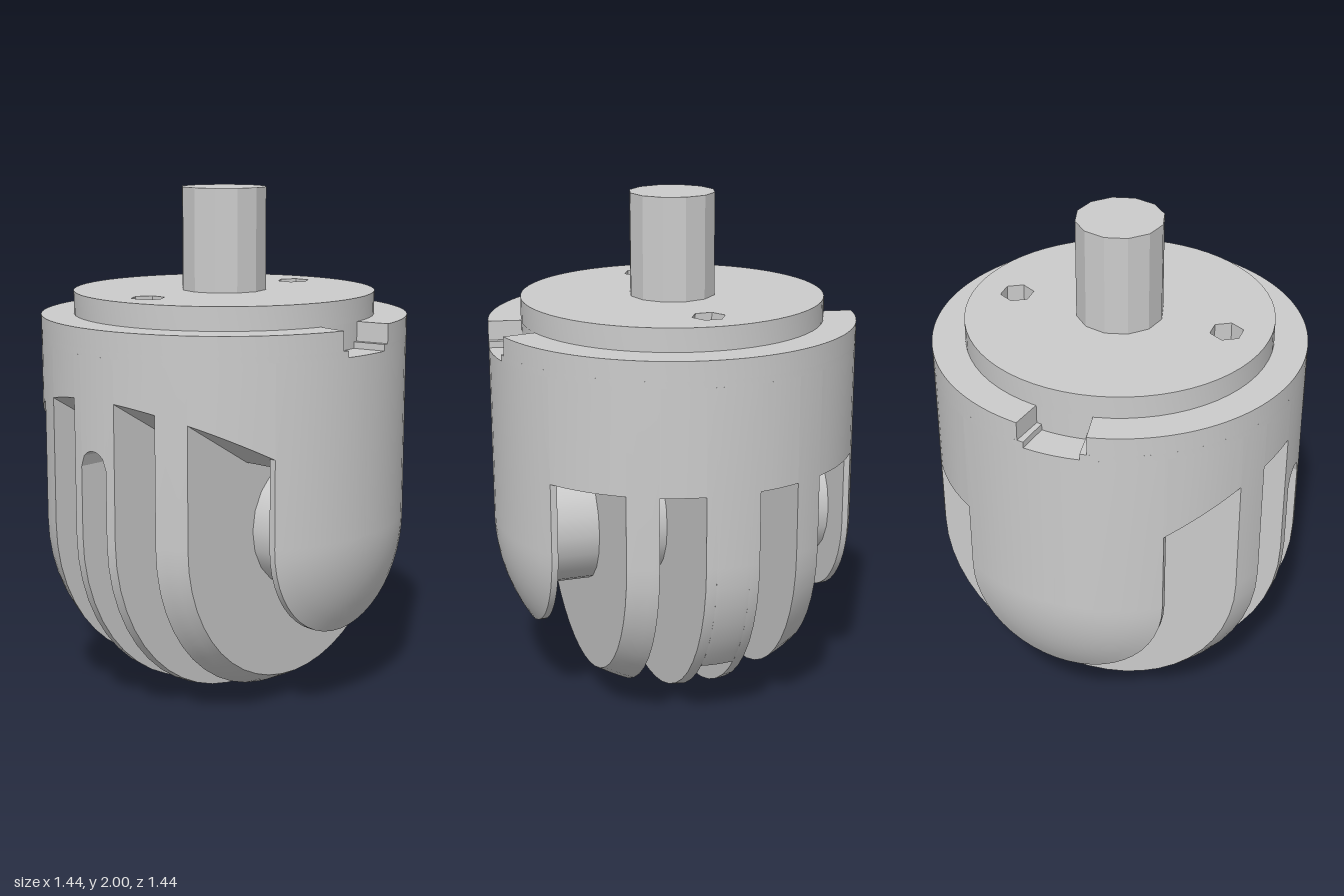
import * as THREE from 'three';
import { toCreasedNormals } from 'three/addons/utils/BufferGeometryUtils.js';

const R = 0.72;        // body radius, also the height of the dome centre
const TOP = 1.41;      // top of the sliced body, floor of the collar notches
const G = 0.065;       // half width of the cable groove
const CAP = 0.605;     // where the side cheeks begin
const FLOOR = 0.54;    // radius of the groove floor
const grey = new THREE.MeshStandardMaterial({ color: 0xcccccc });
const greyDouble = new THREE.MeshStandardMaterial({ color: 0xcccccc, side: THREE.DoubleSide });

const radiusAt = (x) => Math.sqrt(Math.max(R * R - x * x, 1e-5));
const range = (a, b, n) => Array.from({ length: n + 1 }, (_, i) => a + ((b - a) * i) / n);

// points [z, y] along a circle round the dome centre
const arc = (r, a, b, n) => range(a, b, n).map((t) => [r * Math.cos(t), R + r * Math.sin(t)]);

// solid lofted along x through the outlines [z, y] given for each x
function loft(xs, outline) {
  const rings = xs.map((x) => outline(x).map(([z, y]) => new THREE.Vector2(z, y)));
  if (THREE.ShapeUtils.isClockWise(rings[0])) rings.forEach((r) => r.reverse());
  const pos = [];
  const put = (k, i) => pos.push(xs[k], rings[k][i].y, rings[k][i].x);
  const n = rings[0].length, last = xs.length - 1;
  for (let k = 0; k < last; k++) {
    for (let i = 0; i < n; i++) {
      const j = (i + 1) % n;
      put(k, i); put(k + 1, i); put(k + 1, j);
      put(k, i); put(k + 1, j); put(k, j);
    }
  }
  for (const [a, b, c] of THREE.ShapeUtils.triangulateShape(rings[0], [])) {
    put(0, a); put(0, b); put(0, c);
  }
  for (const [a, b, c] of THREE.ShapeUtils.triangulateShape(rings[last], [])) {
    put(last, a); put(last, c); put(last, b);
  }
  const g = new THREE.BufferGeometry();
  g.setAttribute('position', new THREE.Float32BufferAttribute(pos, 3));
  return toCreasedNormals(g, 0.5);
}

// full section: straight sides on a half circle
const fullOutline = (r) => [[r, TOP], [-r, TOP], ...arc(r, -Math.PI, 0, 24)];

// section above a slot: flat roof at the back, sloping up to the front
const roofOutline = (x) => {
  const r = radiusAt(x);
  return [[r, TOP], [-r, TOP], [-r, 1], [0.29, 1], [r, 1 + 0.577 * (r - 0.29)]];
};

// centre rib core, split by the two cable holes
const coreFront = (x) => {
  const r = radiusAt(x), end = 0.99 + Math.sqrt(Math.max(G * G - x * x, 0));
  return [[0.49, TOP], ...arc(FLOOR, -0.434, 0, 5), [FLOOR, end], [r, end], [r, TOP]];
};
const coreMiddle = () => [[0.36, TOP], [-0.372, TOP], ...arc(FLOOR, -2.5, -0.841, 14)];
const coreBack = (x) => {
  const r = radiusAt(x);
  return [[-0.502, TOP], [-r, TOP], ...arc(r, -Math.PI, -2.44, 6), [-0.555, 0.37]];
};

// flat disc lying in xz with the two cable holes
function disc(shape, y, height) {
  for (const z of [-0.425, 0.425]) {
    const hole = new THREE.Path();
    for (let i = 0; i < 6; i++) {
      const a = (i * Math.PI) / 3;
      const p = [0.065 * Math.cos(a), z + 0.065 * Math.sin(a)];
      i ? hole.lineTo(...p) : hole.moveTo(...p);
    }
    hole.closePath();
    shape.holes.push(hole);
  }
  const g = new THREE.ExtrudeGeometry(shape, { depth: height, bevelEnabled: false, curveSegments: 32 });
  g.rotateX(-Math.PI / 2).translate(0, y, 0);
  return toCreasedNormals(g, 0.5);
}

// collar ring outline with a notch on each side
function notchedShape(a) {
  const s = new THREE.Shape();
  s.absarc(0, 0, R, a, Math.PI - a);
  s.absarc(0, 0, 0.59, Math.PI - a, Math.PI + a);
  s.absarc(0, 0, R, Math.PI + a, 2 * Math.PI - a);
  s.absarc(0, 0, 0.59, -a, a);
  return s;
}

export function createModel() {
  const model = new THREE.Group();
  const add = (name, geometry, material = grey) => {
    const mesh = new THREE.Mesh(geometry, material);
    mesh.name = name;
    model.add(mesh);
    return mesh;
  };

  // ribs, slot roofs and cheeks, mirrored
  for (const side of [1, -1]) {
    const label = side > 0 ? 'left' : 'right';
    const span = (xs) => xs.map((x) => x * side).sort((a, b) => a - b);
    const rib = (x) => fullOutline(radiusAt(x));
    add(label + 'GrooveWall', loft(span(range(G, 0.105, 2)), rib));
    add(label + 'InnerSlotRoof', loft(span(range(0.105, 0.27, 4)), roofOutline));
    add(label + 'Rib', loft(span(range(0.27, 0.38, 3)), rib));
    add(label + 'OuterSlotRoof', loft(span(range(0.38, CAP, 6)), roofOutline));
    const cheek = range(Math.acos(CAP / R), 0, 7).map((t) => R * Math.cos(t));
    add(label + 'Cheek', loft(span([0.58, ...cheek]),
      (x) => fullOutline(radiusAt(Math.max(Math.abs(x), CAP)))));
  }

  // grooved centre rib
  const coreXs = range(-G, G, 8);
  add('centreRibFront', loft(coreXs, coreFront));
  add('centreRibMiddle', loft(coreXs, coreMiddle));
  add('centreRibBack', loft(coreXs, coreBack));

  // cable hole linings, the back one leaning outwards
  for (const [name, zTop, zBottom, bottom] of [
    ['frontCableHole', 0.425, 0.425, 0.45],
    ['backCableHole', -0.435, -0.495, 0.42],
  ]) {
    const h = TOP - bottom;
    const g = new THREE.CylinderGeometry(0.065, 0.065, h, 6, 1, true).rotateY(Math.PI / 6);
    const lining = add(name, toCreasedNormals(g, 0.3), greyDouble);
    lining.position.set(0, (TOP + bottom) / 2, (zTop + zBottom) / 2);
    lining.rotation.x = Math.atan2(zTop - zBottom, h);
  }

  // collar in two steps so the notches widen upwards
  add('lowerCollar', disc(notchedShape(0.15), TOP, 0.025));
  add('upperCollar', disc(notchedShape(0.185), TOP + 0.025, 0.075));

  // lid and shaft
  const lid = new THREE.Shape();
  lid.absarc(0, 0, 0.592, 0, Math.PI * 2);
  add('lid', disc(lid, 1.51, 0.09));
  const shaft = new THREE.CylinderGeometry(0.168, 0.168, 0.42, 12);
  add('shaft', toCreasedNormals(shaft, 0.4)).position.y = 1.79;

  // axle across the slots and the thin bar below it
  const axle = new THREE.CylinderGeometry(0.255, 0.255, 1.2, 20).rotateZ(Math.PI / 2);
  add('axle', toCreasedNormals(axle, 0.5)).position.y = 0.725;
  const bar = new THREE.CylinderGeometry(0.068, 0.068, 0.7, 8).rotateZ(Math.PI / 2);
  add('crossBar', toCreasedNormals(bar, 0.4)).position.set(0, 0.445, 0.18);

  return model;
}
